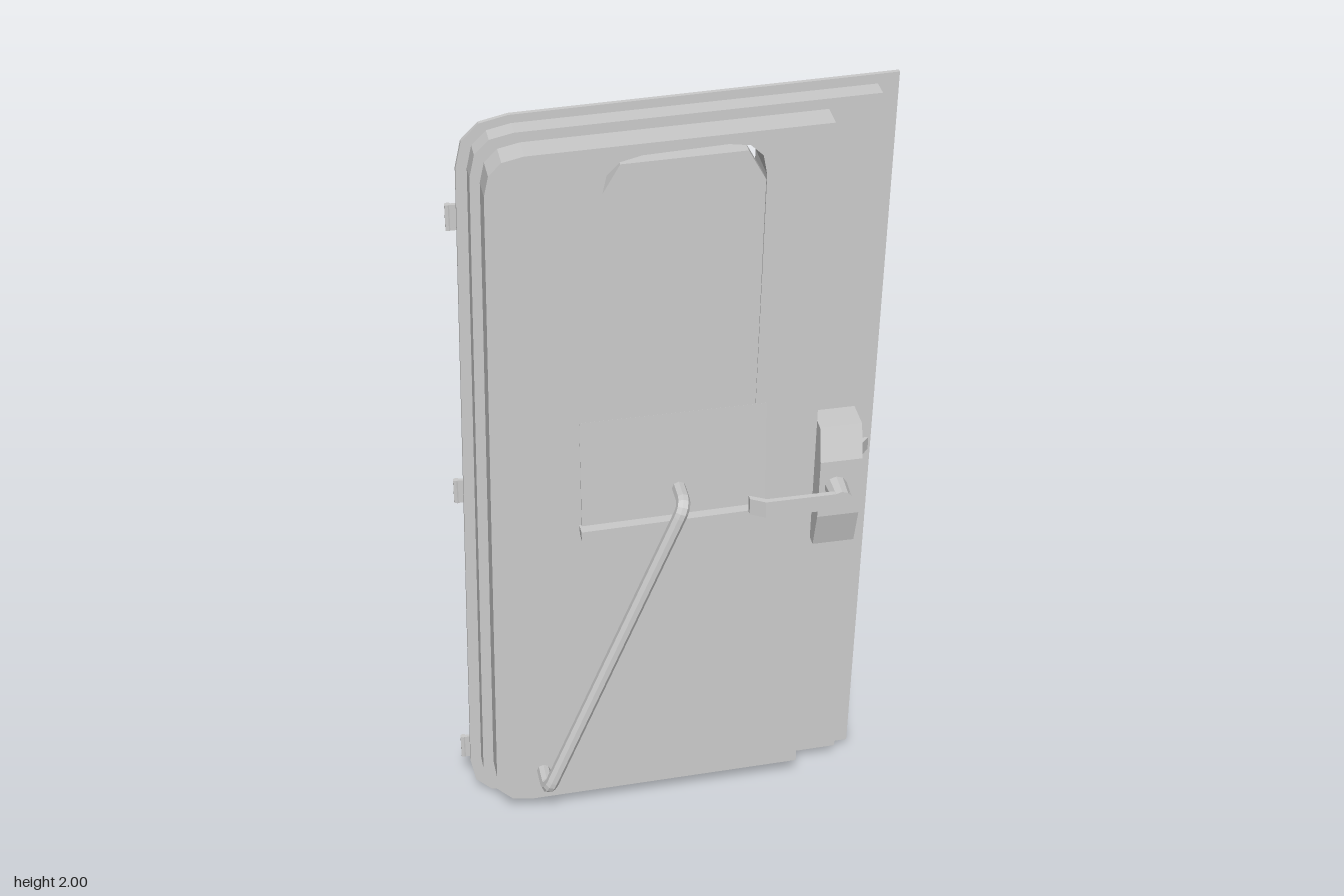
import * as THREE from 'three';

const material = new THREE.MeshStandardMaterial({ color: 0xcccccc, flatShading: true, side: THREE.DoubleSide });

export function createModel() {
  const door = new THREE.Group();
  door.name = 'door';

  const add = (name, geometry, x = 0, y = 0, z = 0, parent = door) => {
    const mesh = new THREE.Mesh(geometry, material);
    mesh.name = name;
    mesh.position.set(x, y, z);
    parent.add(mesh);
    return mesh;
  };
  const box = (name, w, h, d, x, y, z, parent) => add(name, new THREE.BoxGeometry(w, h, d), x, y, z, parent);

  // Polygon of [x, y, radius] corners; a radius rounds that corner
  const outline = (corners, Type = THREE.Shape) => {
    const path = new Type();
    corners.forEach(([x, y, r = 0], i) => {
      const p = new THREE.Vector2(x, y);
      const toward = (c) => new THREE.Vector2(c[0], c[1]).sub(p).setLength(r).add(p);
      const a = toward(corners.at(i - 1));
      const b = toward(corners[(i + 1) % corners.length]);
      if (i === 0) path.moveTo(a.x, a.y); else path.lineTo(a.x, a.y);
      if (r) path.quadraticCurveTo(x, y, b.x, b.y);
    });
    path.closePath();
    return path;
  };
  const slab = (name, shape, z0, z1) => add(name,
    new THREE.ExtrudeGeometry(shape, { depth: z1 - z0, bevelEnabled: false, curveSegments: 3 }), 0, 0, z0);

  // Three stepped door layers, all with the window opening
  const opening = [[-0.19, 0.9, 0.1], [0.185, 0.905, 0.1], [0.21, 1.922, 0.09], [-0.165, 1.908, 0.09]];
  const layers = [
    ['outerSkin', -0.08, -0.07, [[-0.52, 0, 0.12], [0.485, 0.025], [0.535, 2], [-0.475, 1.98, 0.12]]],
    ['middleLayer', -0.07, -0.025, [[-0.492, 0.03, 0.1], [0.44, 0.05], [0.485, 1.975], [-0.45, 1.96, 0.1]]],
    ['innerPanel', -0.025, 0.04, [[-0.465, 0.06, 0.09], [0.32, 0.075], [0.362, 1.947], [-0.428, 1.935, 0.09]]],
  ];
  for (const [name, z0, z1, corners] of layers) {
    const shape = outline(corners);
    shape.holes.push(outline(opening, THREE.Path));
    slab(name, shape, z0, z1);
  }

  // Window pane stops just below the top of the opening, leaving a slot
  slab('windowPane', outline([[-0.19, 0.9, 0.1], [0.185, 0.905, 0.1], [0.206, 1.82], [0.165, 1.898],
    [-0.125, 1.894], [-0.168, 1.82]]), 0, 0.04);
  const cover = box('windowCover', 0.45, 0.31, 0.008, -0.005, 1.06, 0.039);
  cover.rotation.x = -0.018;
  const ledge = box('windowLedge', 0.46, 0.026, 0.03, -0.005, 0.91, 0.055);
  ledge.rotation.z = 0.018;

  // Diagonal pull bar with bent ends
  const barPath = new THREE.CurvePath();
  const lerp = (t, z) => new THREE.Vector3(-0.343 + 0.35 * t, 0.155 + 0.845 * t, z);
  const barPoints = [lerp(0, 0.035), lerp(0, 0.09), lerp(0.035, 0.119), lerp(0.965, 0.119), lerp(1, 0.09), lerp(1, 0.035)];
  barPath.add(new THREE.LineCurve3(barPoints[0], barPoints[1]));
  barPath.add(new THREE.QuadraticBezierCurve3(barPoints[1], lerp(0, 0.119), barPoints[2]));
  barPath.add(new THREE.LineCurve3(barPoints[2], barPoints[3]));
  barPath.add(new THREE.QuadraticBezierCurve3(barPoints[3], lerp(1, 0.119), barPoints[4]));
  barPath.add(new THREE.LineCurve3(barPoints[4], barPoints[5]));
  add('pullBar', new THREE.TubeGeometry(barPath, 90, 0.017, 8));

  // Lock case: side profile (z, y) extruded across the width
  const lock = new THREE.Group();
  lock.name = 'lock';
  door.add(lock);
  const profile = outline([[-0.02, 0.79], [0.055, 0.79], [0.08, 0.89], [0.08, 1.05], [0.055, 1.135], [-0.02, 1.135]]);
  const caseGeometry = new THREE.ExtrudeGeometry(profile, { depth: 0.103, bevelEnabled: false });
  caseGeometry.rotateY(-Math.PI / 2);
  const lockCase = add('lockCase', caseGeometry, 0.448, 0, 0, lock);
  lockCase.geometry.applyMatrix4(new THREE.Matrix4().makeShear(0, 0, 0.024, 0, 0, 0));
  lockCase.position.x -= 0.024;

  // Wedge latch bolt
  const bolt = new THREE.ExtrudeGeometry(outline([[0.43, -0.005], [0.485, -0.005], [0.45, 0.035], [0.43, 0.035]]),
    { depth: 0.035, bevelEnabled: false });
  bolt.rotateX(Math.PI / 2);
  add('latchBolt', bolt, 0, 1.05, 0, lock);

  // Lever on its spindle: top profile (x, z) with a bent tip
  const spindle = new THREE.CylinderGeometry(0.025, 0.028, 0.062, 10);
  spindle.rotateX(Math.PI / 2);
  add('leverSpindle', spindle, 0.386, 0.977, 0.109, lock);
  const lever = new THREE.ExtrudeGeometry(outline([[0.165, 0.105], [0.205, 0.127], [0.39, 0.127], [0.39, 0.14],
    [0.2, 0.14], [0.165, 0.119]]), { depth: 0.045, bevelEnabled: false });
  lever.rotateX(Math.PI / 2);
  add('lever', lever, 0, 0.997, 0, lock);
  const leverEnd = new THREE.CylinderGeometry(0.0235, 0.0235, 0.013, 12);
  leverEnd.rotateX(Math.PI / 2);
  add('leverEnd', leverEnd, 0.39, 0.975, 0.1335, lock);

  // Outside grab handle
  const grab = new THREE.Group();
  grab.name = 'grabHandle';
  door.add(grab);
  for (const y of [0.88, 1.15]) {
    const post = new THREE.CylinderGeometry(0.024, 0.024, 0.065, 8);
    post.rotateX(Math.PI / 2);
    add('grabPost', post, 0.306, y, -0.111, grab);
  }
  box('grabBar', 0.034, 0.27, 0.016, 0.306, 1.015, -0.135, grab);

  // Three hinge straps along the edge, each with a tapered leaf and a pin
  for (const [x, y] of [[-0.505, 1.73], [-0.52, 0.97], [-0.538, 0.16]]) {
    const hinge = new THREE.Group();
    hinge.name = 'hinge';
    hinge.position.set(x, y, -0.087);
    door.add(hinge);
    const leaf = new THREE.ExtrudeGeometry(outline([[0, -0.033], [0.035, -0.033], [0.12, 0.005], [0.12, 0.025],
      [0.035, 0.033], [0, 0.033]]), { depth: 0.008, bevelEnabled: false });
    add('hingeLeaf', leaf, 0, 0, -0.003, hinge).rotation.y = -0.06;
    add('hingePin', new THREE.CylinderGeometry(0.007, 0.007, 0.066, 8), 0.007, 0, 0, hinge);
  }

  return door;
}
